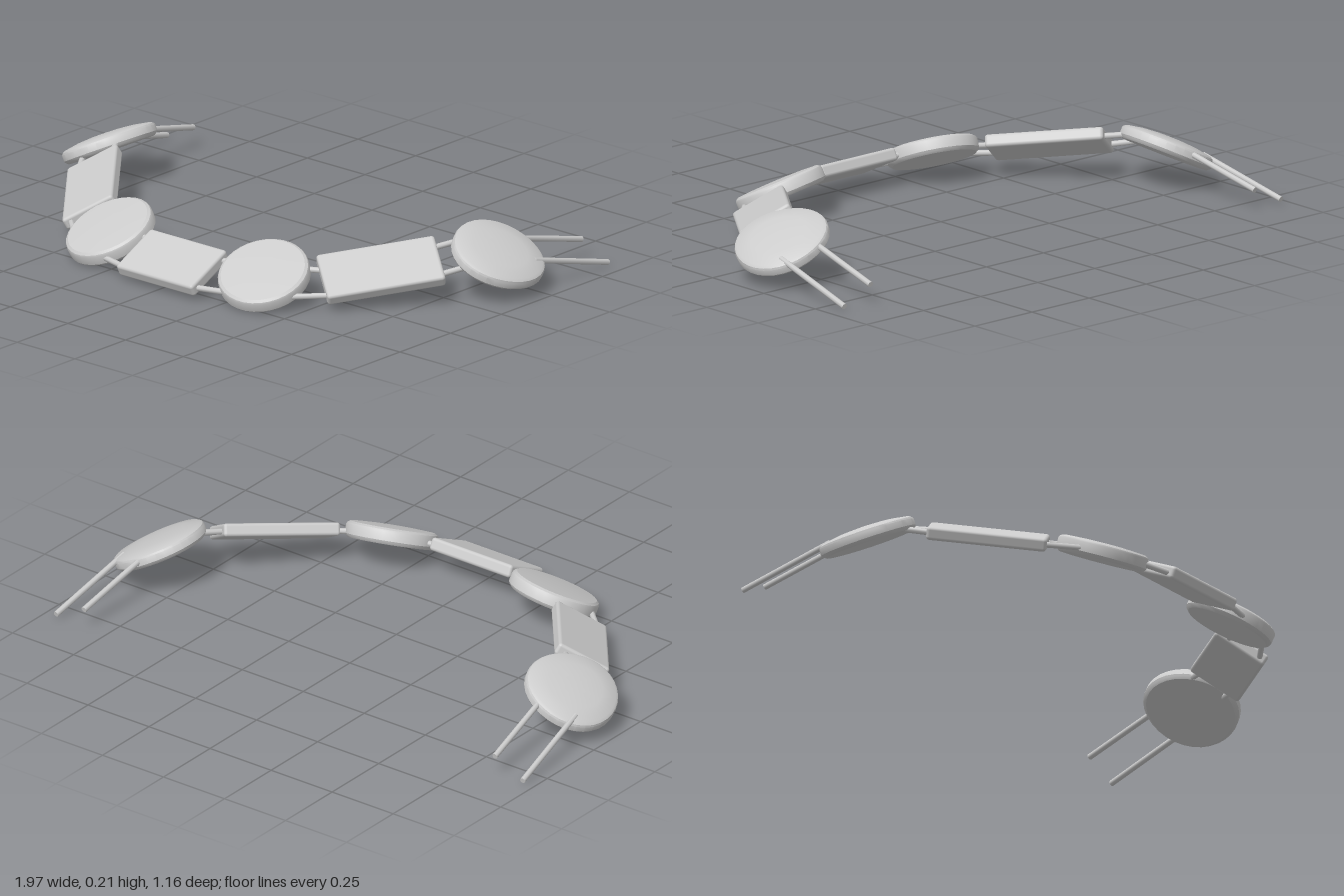
import * as THREE from 'three';
import { toCreasedNormals } from 'three/addons/utils/BufferGeometryUtils.js';
import { RoundedBoxGeometry } from 'three/addons/geometries/RoundedBoxGeometry.js';

const V = (x, y, z) => new THREE.Vector3(x, y, z);
const metal = new THREE.MeshStandardMaterial({ color: 0xcccccc });

// Round link: bevelled rim, slightly domed top, flat underside
function discGeometry(r, t, dome) {
  const h = t / 2, b = 0.012;
  const profile = [[0, -h], [r - b, -h], [r - 0.003, -h + b * 0.6], [r, -h + b], [r, h - b],
    [r - 0.003, h - b * 0.5], [r - b, h], [r * 0.6, h + dome * 0.65], [r * 0.3, h + dome * 0.92], [0, h + dome]]
    .map(([x, y]) => new THREE.Vector2(x, y));
  return toCreasedNormals(new THREE.LatheGeometry(profile, 32), 0.5);
}

// Egg-shaped end link: longer along local x, narrower at the chain side
function endDiscGeometry() {
  const g = discGeometry(0.155, 0.045, 0.014);
  const p = g.attributes.position;
  for (let i = 0; i < p.count; i++) {
    const x = p.getX(i);
    p.setX(i, x * 1.07);
    p.setZ(i, p.getZ(i) * (1 + 0.5 * x));
  }
  return toCreasedNormals(g, 0.5);
}

export function createModel() {
  const root = new THREE.Group();
  root.name = 'linkBracelet';
  const chain = new THREE.Group();
  chain.name = 'chain';
  root.add(chain);

  // Put a link at a centre, with its upper normal and its lengthwise direction
  function link(name, geometry, c, normal, along) {
    const n = normal.normalize();
    const a = along.clone().addScaledVector(n, -along.dot(n)).normalize();
    const mesh = new THREE.Mesh(geometry, metal);
    mesh.name = name;
    mesh.quaternion.setFromRotationMatrix(new THREE.Matrix4().makeBasis(a, n, a.clone().cross(n)));
    mesh.position.copy(c);
    chain.add(mesh);
    // Point on the link's middle plane above (x, z)
    return (x, z) => V(x, c.y - (n.x * (x - c.x) + n.z * (z - c.z)) / n.y, z);
  }

  function rod(name, from, to) {
    const mesh = new THREE.Mesh(new THREE.CylinderGeometry(0.01, 0.01, from.distanceTo(to), 8), metal);
    mesh.name = name;
    mesh.position.copy(from).lerp(to, 0.5);
    mesh.quaternion.setFromUnitVectors(V(0, 1, 0), to.clone().sub(from).normalize());
    chain.add(mesh);
  }

  const disc = discGeometry(0.152, 0.054, 0.005);
  const endDisc = endDiscGeometry();
  const onCentre = link('centrePlate', new RoundedBoxGeometry(0.33, 0.044, 0.195, 2, 0.011),
    V(0, 0.083, 0.483), V(0, 0.9, 0.436), V(1, 0, 0));
  const sidePlate = new RoundedBoxGeometry(0.394, 0.044, 0.19, 2, 0.011);

  for (const s of [1, -1]) {
    const side = s > 0 ? 'left' : 'right';
    const onFront = link(side + 'FrontDisc', disc, V(s * 0.333, 0.095, 0.41), V(s * 0.13, 0.89, 0.43), V(1, 0, 0));
    const along = V(s * 0.245, 0.045, -0.305);
    const across = V(s * -0.125, 0.095, -0.105);
    const normal = along.clone().cross(across).multiplyScalar(s);
    const onSide = link(side + 'SidePlate', sidePlate, V(s * 0.626, 0.118, 0.168), normal, along);
    const onEnd = link(side + 'EndDisc', endDisc, V(s * 0.842, 0.134, -0.158), V(s * 0.46, 0.89, -0.03), V(0, 0, -1));

    // Pairs of rods joining neighbouring links
    const joins = [
      [onCentre, 0.12, 0.43, onFront, 0.25, 0.40],
      [onCentre, 0.12, 0.555, onFront, 0.27, 0.52],
      [onFront, 0.38, 0.35, onSide, 0.52, 0.265],
      [onFront, 0.45, 0.45, onSide, 0.60, 0.31],
      [onSide, 0.68, 0.03, onEnd, 0.75, -0.10],
      [onSide, 0.75, 0.11, onEnd, 0.85, -0.05],
    ];
    for (const [a, ax, az, b, bx, bz] of joins) rod(side + 'JoinRod', a(s * ax, az), b(s * bx, bz));

    // Loose rods trailing from the end link
    const splay = s > 0 ? 0 : 0.016;
    rod(side + 'InnerEndRod', V(s * 0.813, 0.163, -0.25), V(s * (0.834 + splay), 0.077, -0.585));
    rod(side + 'OuterEndRod', V(s * 0.925, 0.112, -0.25), V(s * (0.948 + splay), 0.024, -0.585));
  }

  // Rest on the ground
  chain.position.y = -new THREE.Box3().setFromObject(chain, true).min.y;
  return root;
}
